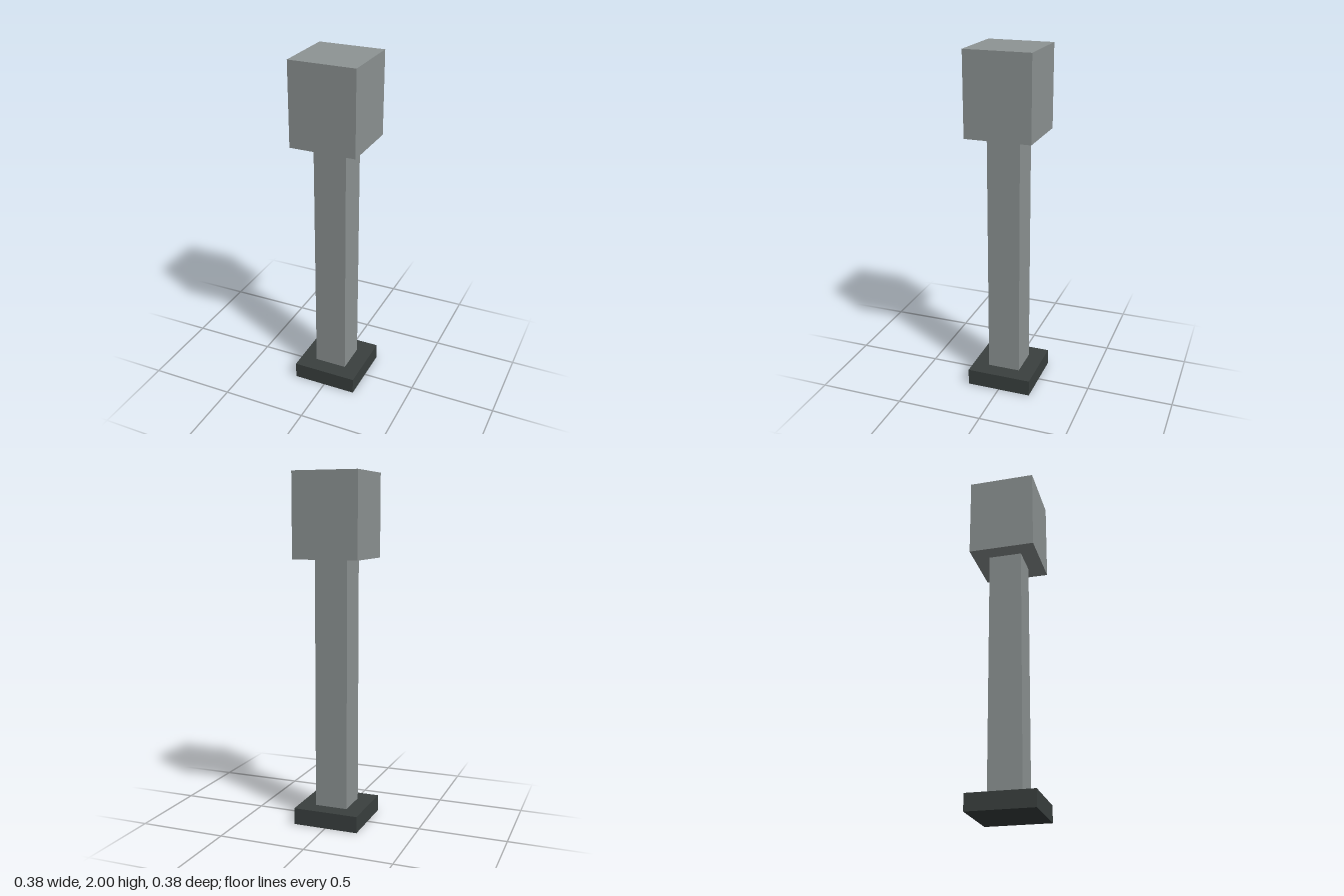
import * as THREE from 'three';

// The whole design sits on a grid of 21 units in height
const U = 2 / 21;

export function createModel() {
  const stone = new THREE.MeshStandardMaterial({ color: 0x8e9494 });
  stone.name = 'grey stone';
  const dark = new THREE.MeshStandardMaterial({ color: 0x3a403f });
  dark.name = 'dark stone';

  const model = new THREE.Group();
  model.name = 'bollardPost';

  // Square block from its bottom level, height and width in grid units
  const addBlock = (name, bottom, height, width, material) => {
    const mesh = new THREE.Mesh(new THREE.BoxGeometry(width * U, height * U, width * U), material);
    mesh.name = name;
    mesh.position.y = (bottom + height / 2) * U;
    model.add(mesh);
  };

  addBlock('base', 0, 1, 4, dark);
  addBlock('post', 1, 15, 2, stone);
  addBlock('head', 16, 5, 4, stone);

  return model;
}
